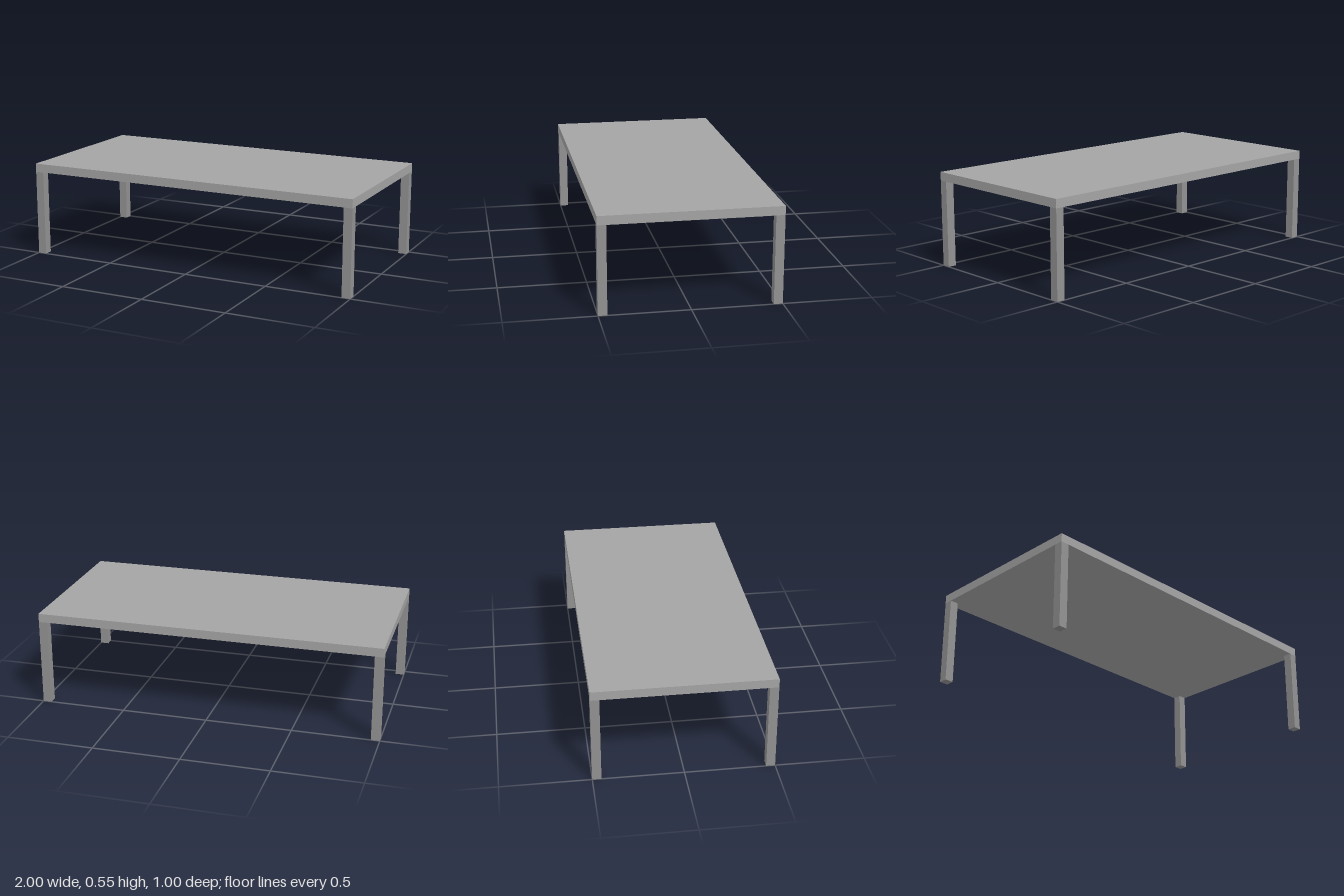
import * as THREE from 'three';

const LENGTH = 2, DEPTH = 1, TOP = 0.05, LEG = 0.05, LEG_HEIGHT = 0.5;

export function createModel() {
  const table = new THREE.Group();
  table.name = 'table';
  const topMaterial = new THREE.MeshStandardMaterial({ color: 0xa4a4a4 });
  const legMaterial = new THREE.MeshStandardMaterial({ color: 0x929292 });

  function addBox(name, material, w, h, d, x, y, z) {
    const mesh = new THREE.Mesh(new THREE.BoxGeometry(w, h, d), material);
    mesh.name = name;
    mesh.position.set(x, y, z);
    table.add(mesh);
  }

  // Flat slab top
  addBox('tabletop', topMaterial, LENGTH, TOP, DEPTH, 0, LEG_HEIGHT + TOP / 2, 0);

  // Four square legs, slightly darker, flush with the corners
  for (const [side, sx] of [['Left', 1], ['Right', -1]]) {
    for (const [end, sz] of [['front', 1], ['back', -1]]) {
      addBox(`${end}${side}Leg`, legMaterial, LEG, LEG_HEIGHT, LEG,
        sx * (LENGTH - LEG) / 2, LEG_HEIGHT / 2, sz * (DEPTH - LEG) / 2);
    }
  }
  return table;
}
